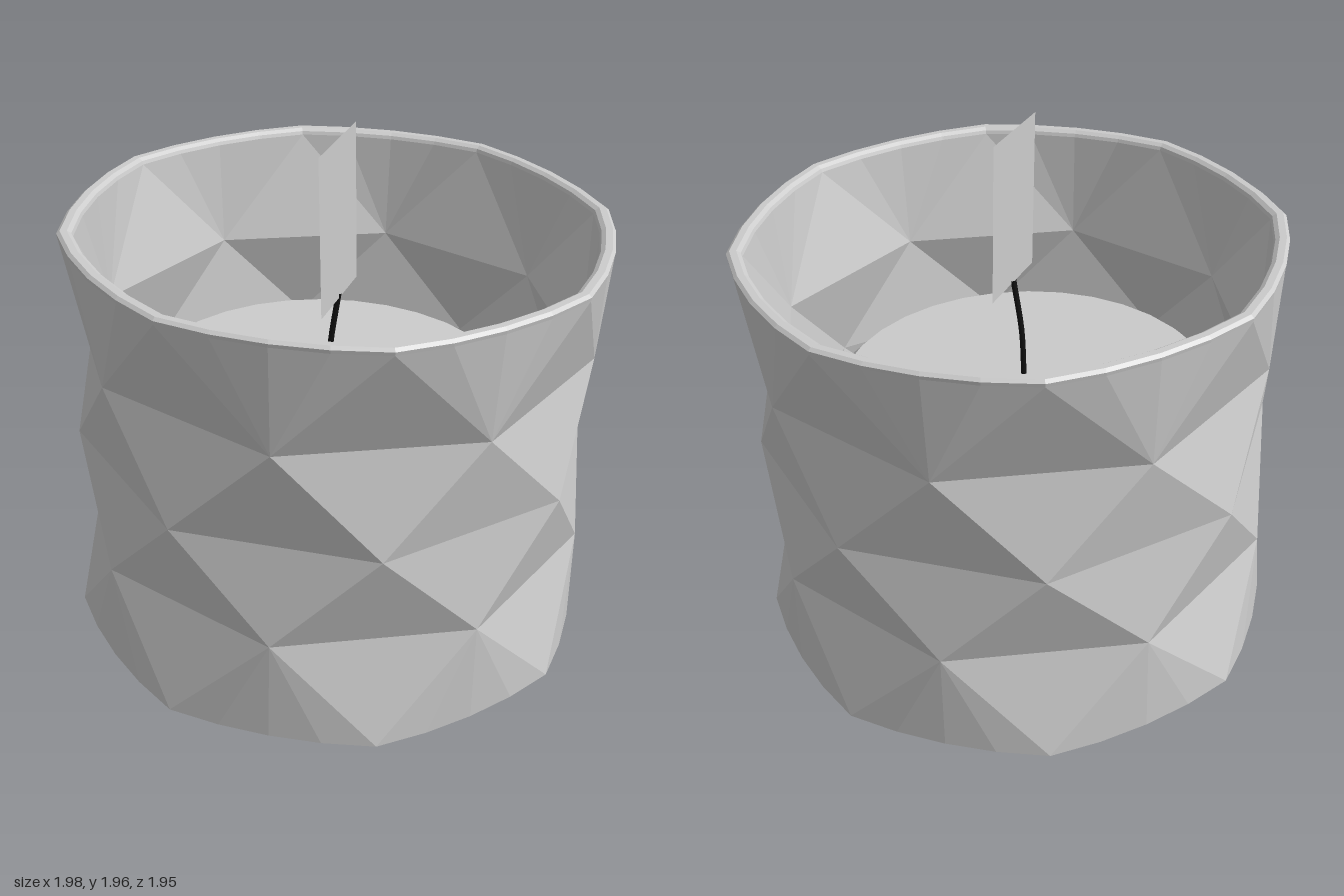
import * as THREE from 'three';

const N = 8; // facets around
const STEP = (Math.PI * 2) / N;

// A ring of N corners; its edges can be split into `split` pieces that bulge outwards.
const ring = (y, r, deg, split = 1, dip = 0) => ({
  split,
  at(i, k = 0) {
    const t = k / split;
    const a = THREE.MathUtils.degToRad(deg) + (i + t) * STEP;
    const rr = r * (1 - dip * 4 * t * (1 - t));
    return new THREE.Vector3(rr * Math.sin(a), y, rr * Math.cos(a));
  },
});

function createVessel(material) {
  const pos = [];
  const tri = (a, b, c, flip) => {
    for (const p of flip ? [a, c, b] : [a, b, c]) pos.push(p.x, p.y, p.z);
  };
  // Zigzag band between a main ring and a ring turned by half a facet
  const band = (main, turned, flip) => {
    for (let i = 0; i < N; i++) {
      for (let k = 0; k < main.split; k++) tri(main.at(i, k), main.at(i, k + 1), turned.at(i), flip);
      tri(turned.at(i), main.at(i + 1), turned.at(i + 1), flip);
    }
  };
  // Straight strip between two rings with the same split
  const strip = (a, b) => {
    for (let i = 0; i < N; i++) {
      for (let k = 0; k < a.split; k++) {
        tri(a.at(i, k), a.at(i, k + 1), b.at(i, k + 1));
        tri(a.at(i, k), b.at(i, k + 1), b.at(i, k));
      }
    }
  };
  const MAIN = -15, TURNED = 7.5;
  const foot = (y, r) => ring(y, r, MAIN, 4, 0.035);
  const lip = (y, r) => ring(y, r, MAIN, 4, 0.025);
  const wall = (d, y0, y4) => [
    foot(y0, 0.99 - d),
    ring(0.406, 0.95 - d, TURNED),
    ring(0.785, 0.965 - d, MAIN),
    ring(1.166, 0.943 - d, TURNED),
    lip(y4, 0.995 - d),
  ];
  const outer = wall(0, 0.016, 1.57);
  const inner = wall(0.055, 0.07, 1.57);

  // outer and inner faceted walls
  [[outer, false], [inner, true]].forEach(([w, flip]) => {
    band(w[0], w[1], flip);
    band(w[2], w[1], !flip);
    band(w[2], w[3], flip);
    band(w[4], w[3], !flip);
  });
  // base, rounded lip and inner floor
  const base = foot(0, 0.97);
  strip(foot(0, 0), base);
  strip(base, outer[0]);
  const rim = [outer[4], lip(1.583, 0.997), lip(1.593, 0.985), lip(1.593, 0.96), lip(1.583, 0.945), inner[4]];
  for (let i = 1; i < rim.length; i++) strip(rim[i - 1], rim[i]);
  strip(inner[0], foot(0.07, 0));

  const geo = new THREE.BufferGeometry();
  geo.setAttribute('position', new THREE.Float32BufferAttribute(pos, 3));
  geo.computeVertexNormals();
  const mesh = new THREE.Mesh(geo, material);
  mesh.name = 'facetedVessel';
  return mesh;
}

export function createModel() {
  const model = new THREE.Group();
  model.name = 'candleInVessel';
  const grey = new THREE.MeshStandardMaterial({ color: 0xcccccc, flatShading: true });

  // vessel and wax lean slightly to one side
  const leaning = new THREE.Group();
  leaning.name = 'vesselAndWax';
  leaning.rotation.z = -0.025;
  leaning.position.set(-0.022, 0.024, 0);
  leaning.add(createVessel(grey));

  // wax with a small bevel round the top
  const profile = [[0, 0.07], [0.74, 0.07], [0.74, 0.91], [0.705, 0.945], [0, 0.945]];
  const wax = new THREE.Mesh(
    new THREE.LatheGeometry(profile.map(([x, y]) => new THREE.Vector2(x, y)), 32), grey);
  wax.name = 'wax';
  wax.position.set(-0.025, 0, 0.045);
  leaning.add(wax);
  model.add(leaning);

  // wick
  const path = new THREE.CatmullRomCurve3([
    new THREE.Vector3(0.005, 0.94, 0.1),
    new THREE.Vector3(0.015, 1.15, 0.1),
    new THREE.Vector3(0.045, 1.37, 0.09),
  ]);
  const wick = new THREE.Mesh(
    new THREE.TubeGeometry(path, 8, 0.011, 8),
    new THREE.MeshStandardMaterial({ color: 0x111111 }));
  wick.name = 'wick';
  model.add(wick);

  // flat flame card standing on the wick
  const flame = new THREE.Mesh(
    new THREE.PlaneGeometry(0.36, 0.6),
    new THREE.MeshStandardMaterial({ color: 0xcccccc, side: THREE.DoubleSide }));
  flame.name = 'flameCard';
  flame.geometry.rotateY(Math.PI / 2);
  flame.rotation.x = 0.03;
  flame.position.set(0.05, 1.655, 0.105);
  model.add(flame);

  return model;
}
